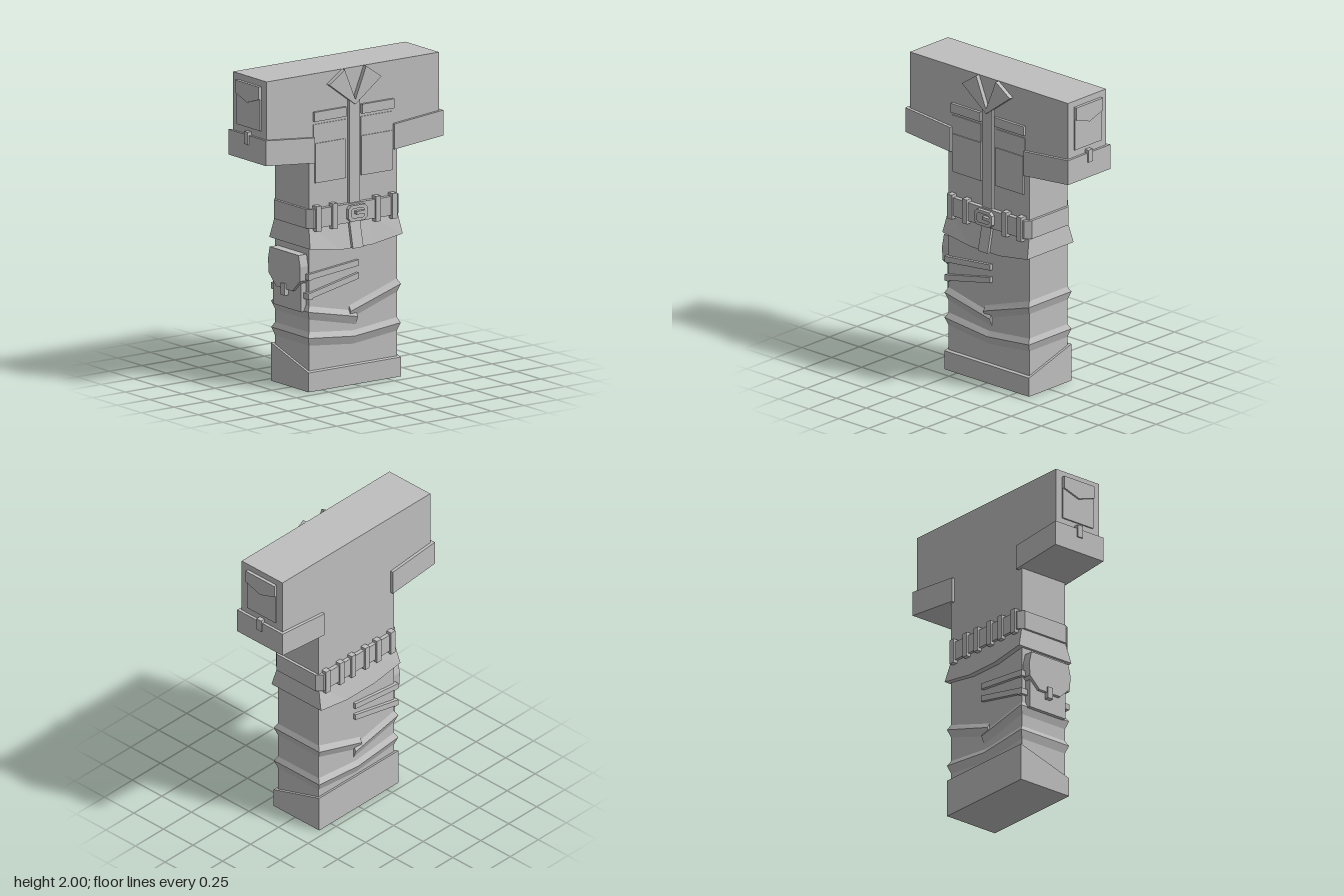
import * as THREE from 'three';

const W = 0.337, BACK = -0.185, FRONT = 0.16; // torso half width and its two wide faces

export function createModel() {
  const model = new THREE.Group();
  const cloth = new THREE.MeshStandardMaterial({ color: 0xbebebe });
  cloth.name = 'grey cloth';

  function add(name, geometry) {
    const mesh = new THREE.Mesh(geometry, cloth);
    mesh.name = name;
    model.add(mesh);
    return mesh;
  }
  // Box given by its limits
  function box(name, x0, x1, y0, y1, z0, z1) {
    add(name, new THREE.BoxGeometry(x1 - x0, y1 - y0, z1 - z0))
      .position.set((x0 + x1) / 2, (y0 + y1) / 2, (z0 + z1) / 2);
  }
  const toShape = pts => new THREE.Shape(pts.map(p => new THREE.Vector2(p[0], p[1])));
  const extrude = (shape, depth) => new THREE.ExtrudeGeometry(shape, { depth, bevelEnabled: false });
  // Outline in (z, y), extruded from x0 to x1
  function plateX(name, pts, x0, x1, hole) {
    const shape = toShape(pts.map(([z, y]) => [-z, y]));
    if (hole) shape.holes.push(toShape(hole.map(([z, y]) => [-z, y])));
    add(name, extrude(shape, x1 - x0).rotateY(Math.PI / 2).translate(x0, 0, 0));
  }
  // Outline in (x, y), extruded from z0 to z1
  function plateZ(name, pts, z0, z1) {
    add(name, extrude(toShape(pts), z1 - z0).translate(0, 0, z0));
  }
  // Solid band round the torso: path of [side, z, y], section of [outX, outZ, y]
  function band(name, path, section) {
    const rings = path.map(([s, z, y]) => section(y).map(([ox, oz, py]) => [
      (s > 0 ? FRONT : BACK) + s * ox,
      py,
      Math.abs(z) === W ? z + Math.sign(z) * oz : z,
    ]));
    const pos = [];
    const tri = (...corners) => corners.forEach(c => pos.push(...c));
    for (let i = 0; i + 1 < rings.length; i++) {
      const p = rings[i], q = rings[i + 1];
      for (let j = 0; j < 3; j++) {
        const k = (j + 1) % 3;
        tri(p[j], p[k], q[k]);
        tri(p[j], q[k], q[j]);
      }
    }
    const first = rings[0], last = rings[rings.length - 1];
    tri(first[2], first[1], first[0]);
    tri(last[0], last[1], last[2]);
    const g = new THREE.BufferGeometry();
    g.setAttribute('position', new THREE.Float32BufferAttribute(pos, 3));
    g.computeVertexNormals();
    add(name, g);
  }

  // T-shaped body with sleeves
  plateX('body', [[-W, 0], [W, 0], [W, 1.46], [0.66, 1.49], [0.66, 2], [-0.66, 2], [-0.66, 1.49], [-W, 1.46]], BACK, FRONT);

  // Hem, higher at the back
  plateZ('hem', [[-0.205, 0], [0.18, 0], [0.18, 0.122], [-0.205, 0.24]], -0.353, 0.353);

  // Cloth folds
  const fold = y => [[0, 0, y + 0.033], [0.02, 0.016, y], [0, 0, y - 0.052]];
  const lowFold = [[1, W, 0.34], [1, 0, 0.305], [1, -W, 0.34], [-1, -W, 0.34], [-1, 0, 0.305], [-1, W, 0.34]];
  band('lowerFold', [...lowFold, lowFold[0]], fold);
  band('upperFoldLeft', [[-1, -0.025, 0.425], [-1, W, 0.505], [1, W, 0.505], [1, -0.025, 0.425]], fold);
  band('upperFoldRight', [[1, 0.03, 0.465], [1, -W, 0.585], [-1, -W, 0.585], [-1, 0.03, 0.465]], fold);

  // Flared jacket skirt below the belt
  const skirt = [[1, W, 0.905], [1, 0.12, 0.87], [1, -0.12, 0.87], [1, -W, 0.905],
    [-1, -W, 0.905], [-1, -0.12, 0.87], [-1, 0.12, 0.87], [-1, W, 0.905]];
  band('jacketSkirt', [...skirt, skirt[0]], y => [[0, 0, 1.05], [0.037, 0.018, y], [0, 0, y]]);

  // Belt with cut corners, loops and buckle
  const bx0 = -0.21, bx1 = 0.19, bz = 0.355, cut = 0.035;
  const beltShape = toShape([[bx0 + cut, -bz], [bx1 - cut, -bz], [bx1, -bz + cut], [bx1, bz - cut],
    [bx1 - cut, bz], [bx0 + cut, bz], [bx0, bz - cut], [bx0, -bz + cut]]);
  add('belt', extrude(beltShape, 0.12).rotateX(-Math.PI / 2).translate(0, 1.03, 0));
  for (const s of [-1, 1]) {
    for (const z of [0.29, 0.165]) box('frontBeltLoop', 0.16, 0.203, 1.01, 1.17, s * z - 0.019, s * z + 0.019);
    for (const z of [0.29, 0.165, 0.06]) box('backBeltLoop', -0.222, BACK, 1.01, 1.17, s * z - 0.019, s * z + 0.019);
  }
  const octagon = (w, h, c) => [[-w + c, -h], [w - c, -h], [w, -h + c], [w, h - c],
    [w - c, h], [-w + c, h], [-w, h - c], [-w, -h + c]].map(([z, y]) => [z, y + 1.09]);
  plateX('buckle', octagon(0.072, 0.05, 0.02), 0.18, 0.215, octagon(0.05, 0.03, 0.012));
  box('buckleTongue', 0.18, 0.215, 1.08, 1.1, -0.052, 0.008);

  // Button strip that follows the skirt
  plateZ('placket', [[0.15, 1.8], [0.15, 1.03], [0.19, 0.87], [0.217, 0.87], [0.178, 1.05], [0.178, 1.8]], -0.04, 0.04);

  for (const s of [-1, 1]) {
    const end = (name, pts, z0, z1) => plateZ(name, pts, ...(s > 0 ? [z0, z1] : [-z1, -z0]));
    const rect = (x0, x1, y0, y1) => [[x0, y0], [x1, y0], [x1, y1], [x0, y1]];
    // Collar
    plateX('collar', [[0.2, 1.92], [0.082, 2], [0, 1.8], [0, 1.77]].map(([z, y]) => [s * z, y]), 0.15, 0.188);
    // Chest flap, panel and pocket
    const [n, f] = s > 0 ? [0.06, 0.305] : [-0.305, -0.06];
    box('chestFlap', 0.15, 0.178, 1.7, 1.76, n, f);
    box('chestPanel', 0.15, 0.165, 1.44, 1.68, n, f);
    box('chestPocket', 0.15, 0.171, 1.31, 1.56, s > 0 ? 0.06 : -0.295, s > 0 ? 0.295 : -0.06);
    // Sleeve cuff
    plateX('cuff', [[0.68, 1.475], [0.68, 1.635], [0.305, 1.6], [0.305, 1.44]].map(([z, y]) => [s * z, y]), -0.205, 0.18);
    // Sleeve pocket and cuff tab
    end('sleevePocket', rect(-0.135, 0.107, 1.68, 1.96), 0.65, 0.67);
    end('sleevePocketFlap', [[-0.135, 1.96], [0.107, 1.96], [0.107, 1.88], [-0.014, 1.84], [-0.135, 1.88]], 0.65, 0.681);
    end('cuffTab', rect(-0.034, 0.006, 1.577, 1.657), 0.65, 0.69);
  }

  // Hip straps round the pouch side
  for (const [lo, hi] of [[0.705, 0.745], [0.583, 0.663]]) {
    const pts = [[-0.028, hi], [-0.028, hi + 0.038], [0.355, lo + 0.038], [0.355, lo]];
    plateX('hipStrap', pts, 0.15, 0.18);
    plateX('hipStrap', pts, -0.205, BACK + 0.01);
    box('hipStrapEnd', -0.205, 0.18, lo, lo + 0.038, 0.32, 0.355);
  }

  // Hip pouch
  box('pouch', -0.155, 0.13, 0.5, 0.86, 0.32, 0.376);
  plateZ('pouchFlap', [[-0.16, 0.862], [0.136, 0.862], [0.153, 0.79], [0.15, 0.7], [0.072, 0.625],
    [-0.095, 0.625], [-0.173, 0.7], [-0.176, 0.79]], 0.33, 0.398);
  box('pouchClasp', -0.034, 0.006, 0.585, 0.66, 0.37, 0.408);

  return model;
}
